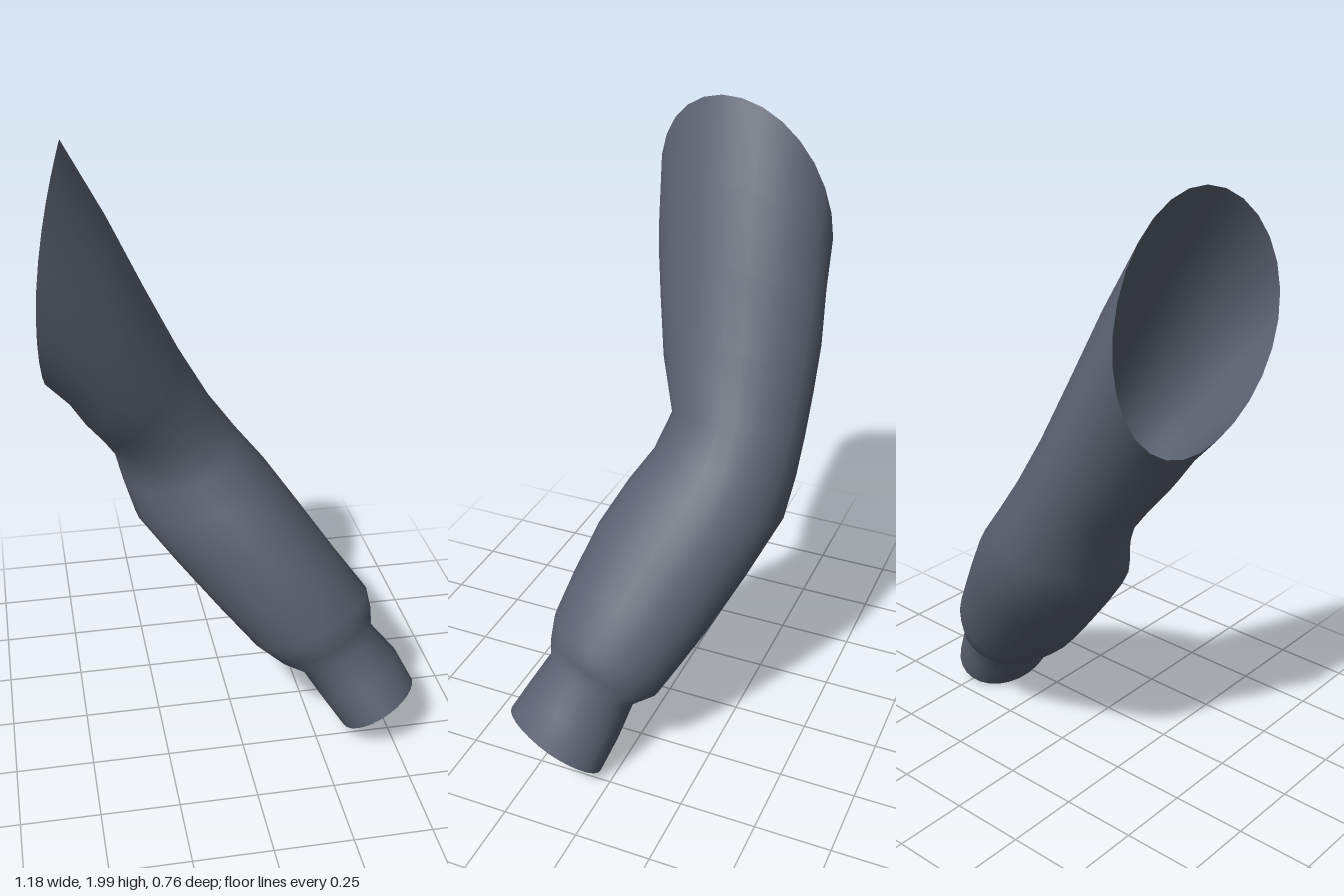
import * as THREE from 'three';

const SIDES = 28;

// A ring spans from an upper point (px,py) to a lower point (qx,qy), with front and back depth,
// a lean that slides its front edge up along the arm, and a bow that moves its front edge in x.
function ringPoints([px, py, qx, qy, front, back, lean, bow = 0], scale = 1, slide = 0) {
  const c = new THREE.Vector3((px + qx) / 2 + 0.45 * slide, (py + qy) / 2 - 0.8 * slide, (front + back) / 2 + 0.3 * slide);
  const u = new THREE.Vector3((px - qx) / 2, (py - qy) / 2, 0).multiplyScalar(scale);
  const h = (front - back) / 2;
  const w = new THREE.Vector3(-0.55 * lean * h, 0.8 * lean * h, h).multiplyScalar(scale);
  const points = [];
  for (let i = 0; i < SIDES; i++) {
    const a = (i / SIDES) * Math.PI * 2;
    const p = c.clone().addScaledVector(u, Math.cos(a)).addScaledVector(w, Math.sin(a));
    p.x += bow * Math.max(Math.sin(a), 0) ** 2;
    points.push(p);
  }
  return points;
}

// Skin a list of rings into an open tube with smooth normals
function loft(name, rings, material) {
  const index = [];
  for (let r = 0; r < rings.length - 1; r++) {
    for (let i = 0; i < SIDES; i++) {
      const j = (i + 1) % SIDES;
      const a = r * SIDES + i, b = r * SIDES + j, c = a + SIDES, d = b + SIDES;
      index.push(a, c, b, b, c, d);
    }
  }
  const geometry = new THREE.BufferGeometry().setFromPoints(rings.flat());
  geometry.setIndex(index);
  geometry.computeVertexNormals();
  const mesh = new THREE.Mesh(geometry, material);
  mesh.name = name;
  return mesh;
}

export function createModel() {
  const group = new THREE.Group();
  group.name = 'sleeve';
  const cloth = new THREE.MeshStandardMaterial({ color: 0x5a6170, side: THREE.DoubleSide });
  cloth.name = 'slate cloth';

  // Shoulder opening, upper arm, elbow crease, forearm, gathered hem and narrow cuff
  const cuffEnd = [0.59, 0.17, 0.352, 0.03, 0.378, 0.037, 0.4];
  const arm = [
    [-0.48, 2.0, -0.555, 1.26, 0.28, -0.352, 0.17, -0.035],
    [-0.355, 1.76, -0.495, 1.185, 0.23, -0.362, 0.06, -0.01],
    [-0.25, 1.53, -0.45, 1.1, 0.18, -0.376, 0],
    [-0.14, 1.3, -0.4, 1.03, 0.132, -0.38, 0],
    [-0.03, 1.1, -0.355, 0.95, 0.065, -0.38, 0],
    [0.055, 0.985, -0.33, 0.85, 0.09, -0.375, 0.08, 0.04],
    [0.145, 0.88, -0.295, 0.74, 0.15, -0.362, 0.15, 0.055],
    [0.25, 0.74, -0.18, 0.6, 0.215, -0.29, 0.22, 0.05],
    [0.36, 0.59, -0.045, 0.44, 0.263, -0.205, 0.28, 0.03],
    [0.45, 0.475, 0.07, 0.31, 0.297, -0.13, 0.3],
    [0.462, 0.41, 0.15, 0.245, 0.295, -0.09, 0.32],
    [0.46, 0.355, 0.225, 0.212, 0.283, -0.02, 0.35],
    [0.54, 0.265, 0.287, 0.12, 0.33, 0.003, 0.38],
    cuffEnd,
  ];
  group.add(loft('armAndCuff', arm.map((r) => ringPoints(r)), cloth));

  // Turned-in rim and the hollow inside it
  const rim = ringPoints(cuffEnd, 0.88, 0.008);
  group.add(loft('cuffRim', [ringPoints(cuffEnd), rim], cloth));
  const hollow = [[0.82, -0.03], [0.65, -0.07], [0.35, -0.09], [0.01, -0.1]];
  group.add(loft('cuffHollow', [rim, ...hollow.map(([s, d]) => ringPoints(cuffEnd, s, d))], cloth));

  return group;
}
